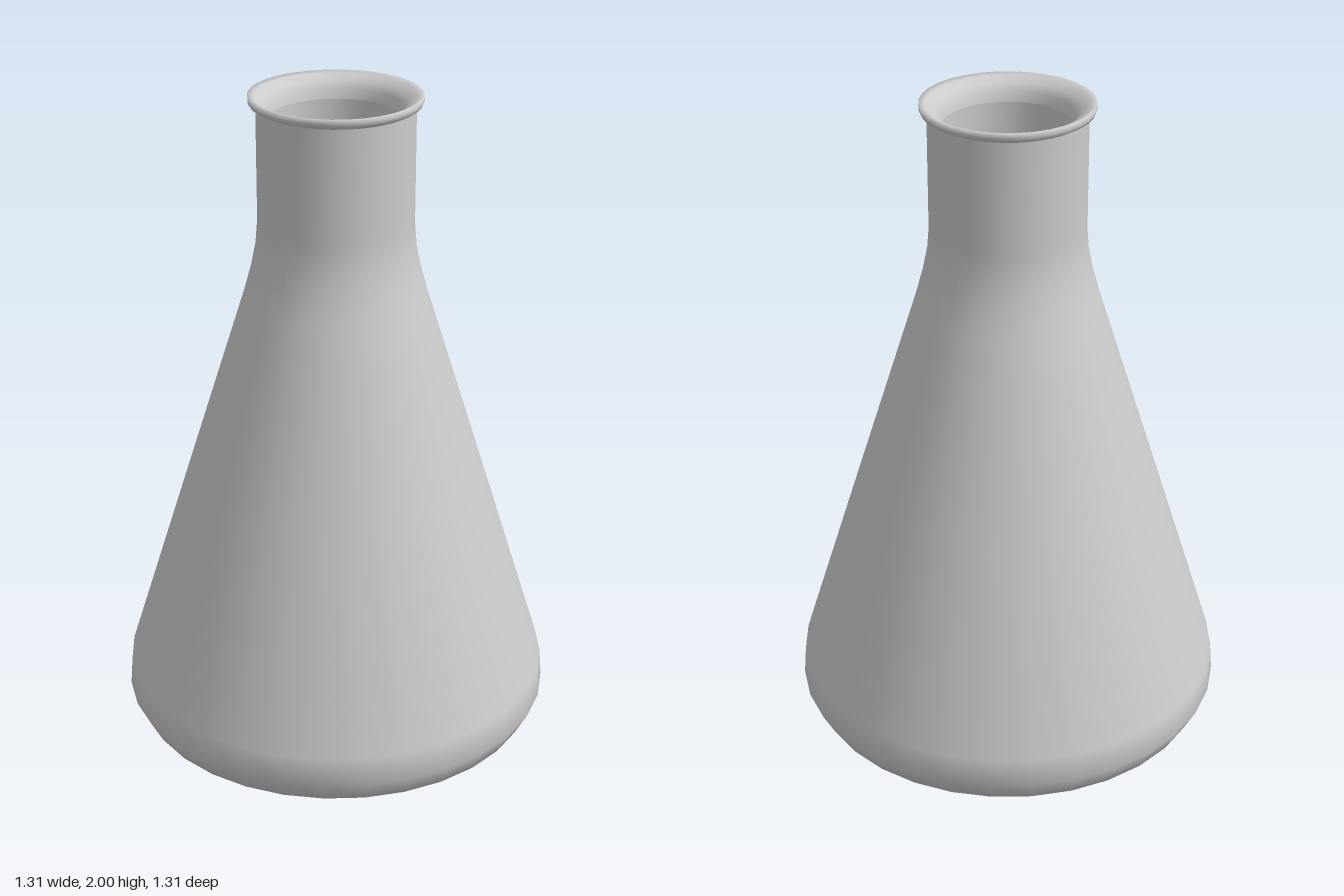
import * as THREE from 'three';

const SIDES = 32;

// Turns a list of [radius, height] pairs into a smooth surface of revolution
function turned(name, profile, material) {
  const points = profile.map(([r, y]) => new THREE.Vector2(r, y));
  const mesh = new THREE.Mesh(new THREE.LatheGeometry(points, SIDES), material);
  mesh.name = name;
  return mesh;
}

export function createModel() {
  const flask = new THREE.Group();
  flask.name = 'conicalFlask';
  const glass = new THREE.MeshStandardMaterial({ color: 0xcccccc });

  // Flat underside
  flask.add(turned('base', [[0, 0], [0.54, 0.005]], glass));

  // Rounded heel, conical body, curved shoulder and straight neck
  flask.add(turned('outerWall', [
    [0.54, 0.005], [0.62, 0.03], [0.657, 0.1], [0.65, 0.19],
    [0.46, 0.8], [0.272, 1.4], [0.25, 1.48], [0.236, 1.55], [0.23, 1.62],
    [0.23, 1.965],
  ], glass));

  // Flared lip, rolling over into the mouth
  flask.add(turned('lip', [
    [0.23, 1.965], [0.248, 1.975], [0.252, 1.985], [0.252, 2],
    [0.235, 1.995], [0.21, 1.98], [0.195, 1.96], [0.188, 1.93],
  ], glass));

  // Hollow interior down to the inside floor
  flask.add(turned('innerWall', [
    [0.188, 1.93], [0.188, 1.62], [0.195, 1.54], [0.21, 1.47], [0.232, 1.39],
    [0.42, 0.79], [0.608, 0.18], [0.612, 0.11], [0.59, 0.06], [0.53, 0.04],
    [0, 0.035],
  ], glass));

  return flask;
}
